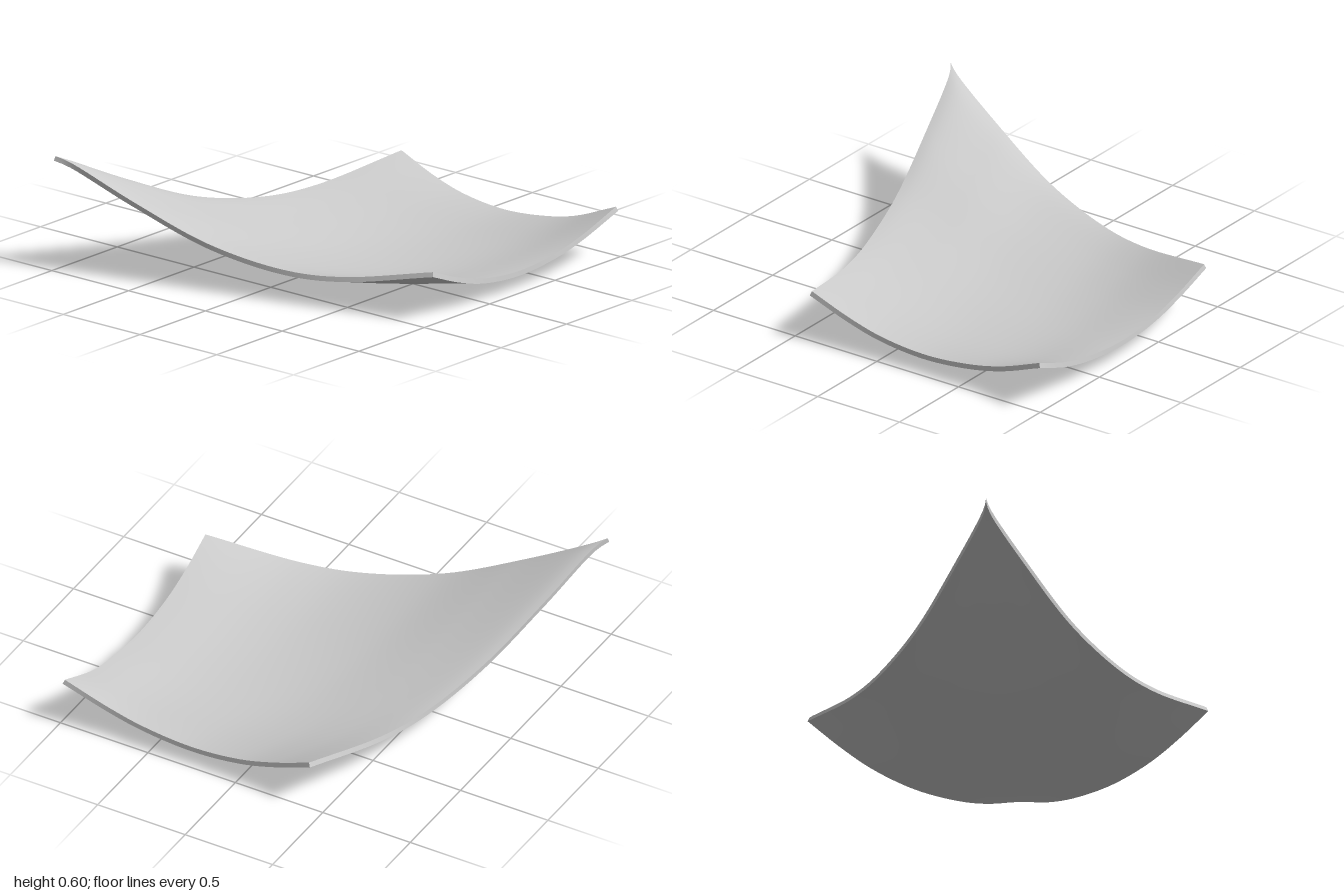
import * as THREE from 'three';
import { ParametricGeometry } from 'three/addons/geometries/ParametricGeometry.js';

const HALF = 0.0125; // half of the shell thickness
const material = new THREE.MeshStandardMaterial({ color: 0xcccccc });

function edge(points) {
  const curve = new THREE.CatmullRomCurve3(points.map(p => new THREE.Vector3(...p)), false, 'centripetal');
  curve.arcLengthDivisions = 400;
  return curve;
}
// The dish is symmetrical about the diagonal x = -z
const mirror = points => points.map(([x, y, z]) => [-z, y, -x]);

// Long edge: tall tip to low corner. Short edge: low corner to far corner.
const longPts = [[-0.99, 0.588, 0.99], [-0.93, 0.56, 0.952], [-0.6, 0.4, 0.855], [-0.2, 0.235, 0.745],
  [0.2, 0.158, 0.64], [0.5, 0.163, 0.557], [0.985, 0.255, 0.415]];
const shortPts = [[0.985, 0.255, 0.415], [0.977, 0.172, 0.2], [0.973, 0.118, 0], [0.97, 0.092, -0.27],
  [0.97, 0.116, -0.55], [0.97, 0.158, -0.74], [0.988, 0.253, -0.988]];
const front = edge(longPts), left = edge(mirror(longPts));
const right = edge(shortPts), back = edge(mirror(shortPts));
const [tip, low, far, side] = [front.getPoint(0), front.getPoint(1), right.getPoint(1), left.getPoint(1)];

// Middle surface: a patch blended from the four edges, lifted a little inside
function middle(u, v) {
  const p = new THREE.Vector3()
    .addScaledVector(front.getPointAt(u), 1 - v).addScaledVector(back.getPointAt(u), v)
    .addScaledVector(left.getPointAt(v), 1 - u).addScaledVector(right.getPointAt(v), u)
    .addScaledVector(tip, -(1 - u) * (1 - v)).addScaledVector(low, -u * (1 - v))
    .addScaledVector(far, -u * v).addScaledVector(side, -(1 - u) * v);
  p.y += 0.08 * 16 * u * (1 - u) * v * (1 - v);
  return p;
}

// Point on the shell, offset t (-1 to 1) along the normal
function shell(u, v, t, target) {
  const e = 0.01, lo = a => Math.max(a - e, 0), hi = a => Math.min(a + e, 1);
  const du = middle(hi(u), v).sub(middle(lo(u), v));
  const dv = middle(u, hi(v)).sub(middle(u, lo(v)));
  target.copy(middle(u, v)).addScaledVector(du.cross(dv).normalize(), t * HALF);
}

export function createModel() {
  const group = new THREE.Group();
  group.name = 'curvedDish';

  function add(name, fn, cols, rows) {
    const geometry = new ParametricGeometry(fn, cols, rows);
    geometry.computeVertexNormals();
    const mesh = new THREE.Mesh(geometry, material);
    mesh.name = name;
    group.add(mesh);
  }

  // Inner and outer faces
  add('innerSurface', (u, v, p) => shell(u, v, 1, p), 48, 48);
  add('outerSurface', (u, v, p) => shell(1 - u, v, -1, p), 48, 48);

  // Rim strips closing the four sides
  add('frontRim', (s, t, p) => shell(s, 0, 2 * t - 1, p), 48, 1);
  add('backRim', (s, t, p) => shell(1 - s, 1, 2 * t - 1, p), 48, 1);
  add('leftRim', (s, t, p) => shell(1, s, 2 * t - 1, p), 48, 1);
  add('rightRim', (s, t, p) => shell(0, 1 - s, 2 * t - 1, p), 48, 1);

  // Stand the dish on the ground
  group.position.y = -new THREE.Box3().setFromObject(group).min.y;
  return group;
}
